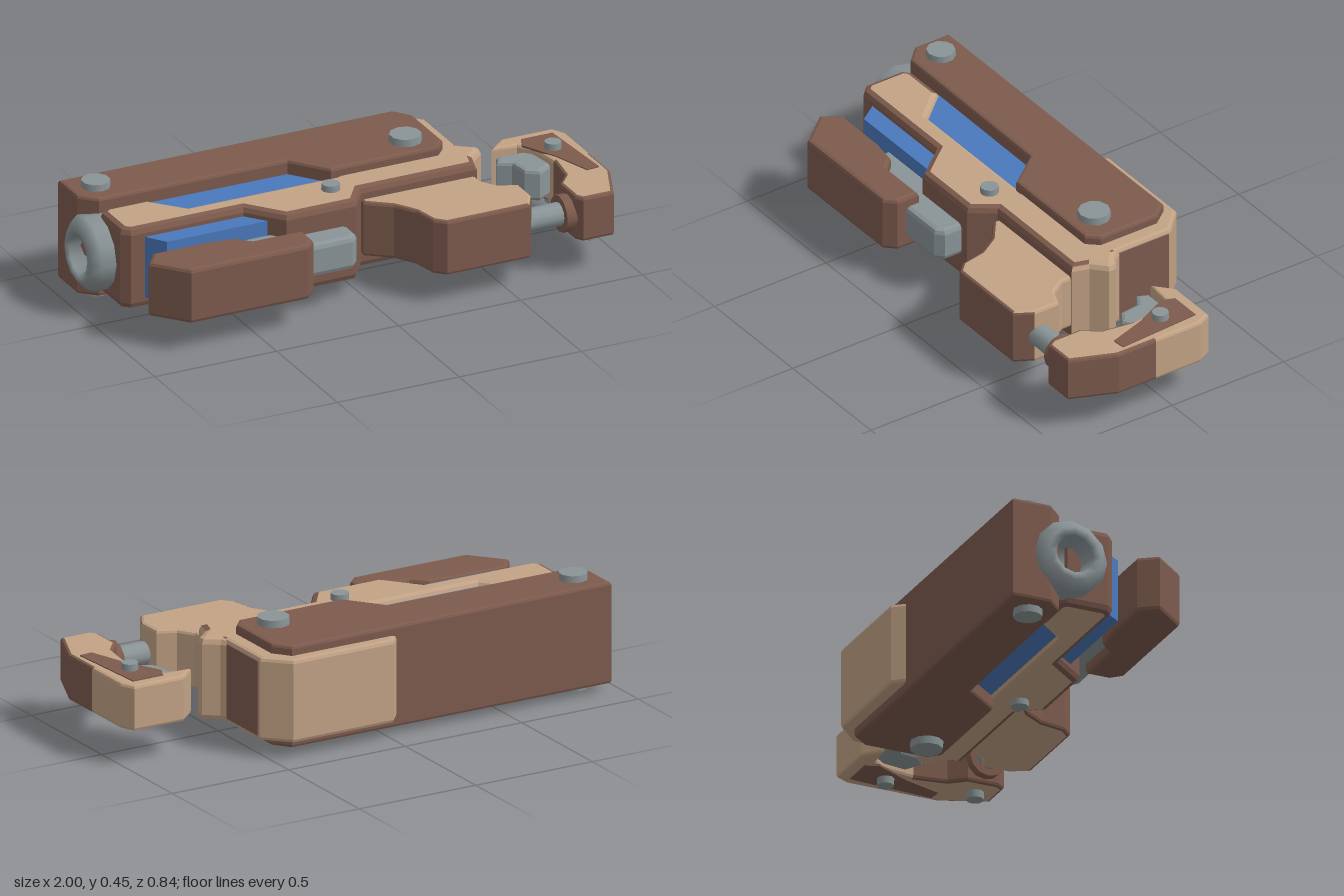
import * as THREE from 'three';

const MID = 0.228; // mirror height of the whole model

export function createModel() {
  const root = new THREE.Group();
  const mat = (name, color) => {
    const m = new THREE.MeshStandardMaterial({ color });
    m.name = name;
    return m;
  };
  const brown = mat('brown', 0x7d5b4d);
  const tan = mat('tan', 0xc2a285);
  const grey = mat('grey', 0x8a9497);
  const blue = mat('blue', 0x4a79bd);

  // Bevelled slab from an x/z outline; paint(normal, centre) picks the material index of each triangle
  function slab(name, pts, y0, y1, bevel, materials, paint = () => 0) {
    const shape = new THREE.Shape(pts.map(([x, z]) => new THREE.Vector2(x, z)));
    const geo = new THREE.ExtrudeGeometry(shape, {
      depth: y1 - y0 - 2 * bevel, bevelEnabled: bevel > 0, bevelThickness: bevel,
      bevelSize: bevel, bevelOffset: -bevel, bevelSegments: 2,
    });
    geo.rotateX(Math.PI / 2).translate(0, y1 - bevel, 0);
    geo.clearGroups();
    const p = geo.attributes.position;
    const t = new THREE.Triangle(), n = new THREE.Vector3(), c = new THREE.Vector3();
    let start = 0, last = -1;
    for (let i = 0; i < p.count; i += 3) {
      t.setFromAttributeAndIndices(p, i, i + 1, i + 2);
      const k = paint(t.getNormal(n), t.getMidpoint(c));
      if (k !== last) {
        if (last >= 0) geo.addGroup(start, i - start, last);
        start = i;
        last = k;
      }
    }
    geo.addGroup(start, p.count - start, last);
    const mesh = new THREE.Mesh(geo, materials);
    mesh.name = name;
    root.add(mesh);
  }
  const isCap = (n) => Math.abs(n.y) > 0.98;

  // Tapered bolt head pointing up (dir 1) or down (dir -1)
  function bolt(name, x, z, r, top, dir) {
    const h = 0.06;
    const mesh = new THREE.Mesh(new THREE.CylinderGeometry(r * 0.93, r, h, 10), grey);
    mesh.name = name;
    mesh.position.set(x, MID + dir * (top - MID - h / 2), z);
    if (dir < 0) mesh.rotation.x = Math.PI;
    root.add(mesh);
  }

  // Long housing
  slab('housing', [
    [-0.96, -0.375], [0.41, -0.375], [0.46, -0.31], [0.46, -0.06], [0.42, -0.015],
    [-0.02, -0.015], [-0.13, -0.155], [-0.9, -0.16], [-0.96, -0.22],
  ], 0.03, 0.427, 0.012, [brown]);

  // Tan rear block with a brown end plate
  slab('rearBlock', [
    [-0.05, -0.36], [0, -0.42], [0.43, -0.42], [0.52, -0.33], [0.52, -0.06], [-0.05, -0.06],
  ], 0.065, 0.39, 0.015, [tan]);
  const endPlate = new THREE.Mesh(new THREE.BoxGeometry(0.006, 0.29, 0.22), brown);
  endPlate.name = 'endPlate';
  endPlate.position.set(0.521, MID, -0.21);
  root.add(endPlate);

  // Main frame: tan faces with a brown rim
  slab('frame', [
    [-0.91, -0.13], [-0.88, -0.155], [-0.71, -0.155], [-0.6, -0.03], [0, -0.03], [0.1, -0.1],
    [0.52, -0.1], [0.535, -0.075], [0.59, -0.035], [0.59, -0.005], [0.535, 0.045], [0.515, 0.11],
    [0.04, 0.11], [-0.025, 0.2], [-0.31, 0.2], [-0.42, 0.065], [-0.88, 0.065], [-0.91, 0.035],
  ], 0.065, 0.39, 0.025, [tan, brown], (n, c) =>
    (isCap(n) || c.x > 0.515 || (n.z < -0.2 && c.x > -0.7) ? 0 : 1));

  // Blue inner cores
  slab('upperCore', [[-0.76, -0.2], [-0.1, -0.2], [0, 0], [-0.58, 0]], 0.085, 0.37, 0, [blue]);
  slab('lowerCore', [[-0.84, 0.04], [-0.4, 0.04], [-0.3, 0.14], [-0.77, 0.14]], 0.105, 0.35, 0, [blue]);

  // Grey slide and brown fore grip
  slab('slide', [
    [-0.62, 0.13], [-0.06, 0.13], [-0.06, 0.275], [-0.09, 0.302], [-0.62, 0.302],
  ], 0.163, 0.295, 0.02, [grey]);
  slab('foreGrip', [
    [-0.85, 0.18], [-0.62, 0.18], [-0.52, 0.195], [-0.47, 0.245], [-0.27, 0.245],
    [-0.27, 0.34], [-0.31, 0.38], [-0.79, 0.38], [-0.9, 0.25],
  ], 0.12, 0.34, 0.015, [brown]);

  // Hand grip: tan with a brown front
  slab('handGrip', [
    [0.04, 0.09], [0.04, 0.13], [0.13, 0.2], [0.18, 0.28], [0.2, 0.38], [0.24, 0.42],
    [0.58, 0.42], [0.62, 0.35], [0.62, 0.24], [0.55, 0.21], [0.51, 0.15], [0.51, 0.09],
  ], 0.12, 0.34, 0.012, [tan, brown], (n, c) =>
    (!isCap(n) && (n.z > 0.25 || c.x < 0.22) ? 1 : 0));

  // Rod and collar joining the grip to the stock
  const rods = [['rod', 0.045, 0.6, 0.8, grey], ['collar', 0.072, 0.745, 0.79, brown]];
  for (const [name, r, x0, x1, m] of rods) {
    const mesh = new THREE.Mesh(new THREE.CylinderGeometry(r, r, x1 - x0, 12), m);
    mesh.name = name;
    mesh.rotation.z = Math.PI / 2;
    mesh.position.set((x0 + x1) / 2, MID, 0.325);
    root.add(mesh);
  }

  // Stock: tan rear half, brown sides toward the front
  slab('stock', [
    [0.76, -0.185], [0.97, -0.185], [0.998, -0.13], [0.998, 0.07], [0.998, 0.24], [0.925, 0.415],
    [0.8, 0.415], [0.78, 0.385], [0.78, 0.26], [0.83, 0.2], [0.85, 0.07], [0.83, -0.06],
    [0.79, -0.11], [0.69, -0.12],
  ], 0.14, 0.318, 0.012, [tan, brown], (n, c) =>
    (!isCap(n) && c.z > 0.07 ? 1 : 0));
  const inlay = [[0.82, -0.14], [0.95, -0.14], [0.972, 0.2], [0.92, 0.205], [0.87, 0.05], [0.8, -0.09]];
  slab('stockInlayTop', inlay, 0.314, 0.322, 0, [brown]);
  slab('stockInlayBottom', inlay, 0.136, 0.144, 0, [brown]);
  slab('stockPad', [
    [0.7, -0.105], [0.84, -0.105], [0.86, 0.04], [0.79, 0.08], [0.74, 0.05], [0.73, -0.03], [0.68, -0.06],
  ], 0.165, 0.291, 0.015, [grey]);

  // Bolts on both faces
  for (const dir of [1, -1]) {
    bolt('frontBolt', -0.86, -0.268, 0.058, 0.453, dir);
    bolt('rearBolt', 0.335, -0.117, 0.065, 0.455, dir);
    bolt('frameBolt', -0.065, 0.072, 0.037, 0.415, dir);
    bolt('stockBolt', 0.893, -0.022, 0.034, 0.348, dir);
  }
  bolt('lowerStockBolt', 0.87, 0.33, 0.035, 0.345, -1);

  // Hollow muzzle ring
  const profile = [[0, -0.02], [0.065, -0.02], [0.075, 0.075], [0.105, 0.08], [0.145, 0.045], [0.145, -0.08]]
    .map(([r, y]) => new THREE.Vector2(r, y)).reverse();
  const muzzle = new THREE.Mesh(new THREE.LatheGeometry(profile, 12), grey);
  muzzle.name = 'muzzle';
  muzzle.material.side = THREE.DoubleSide;
  muzzle.rotation.z = Math.PI / 2;
  muzzle.position.set(-0.92, MID, -0.14);
  root.add(muzzle);

  return root;
}
